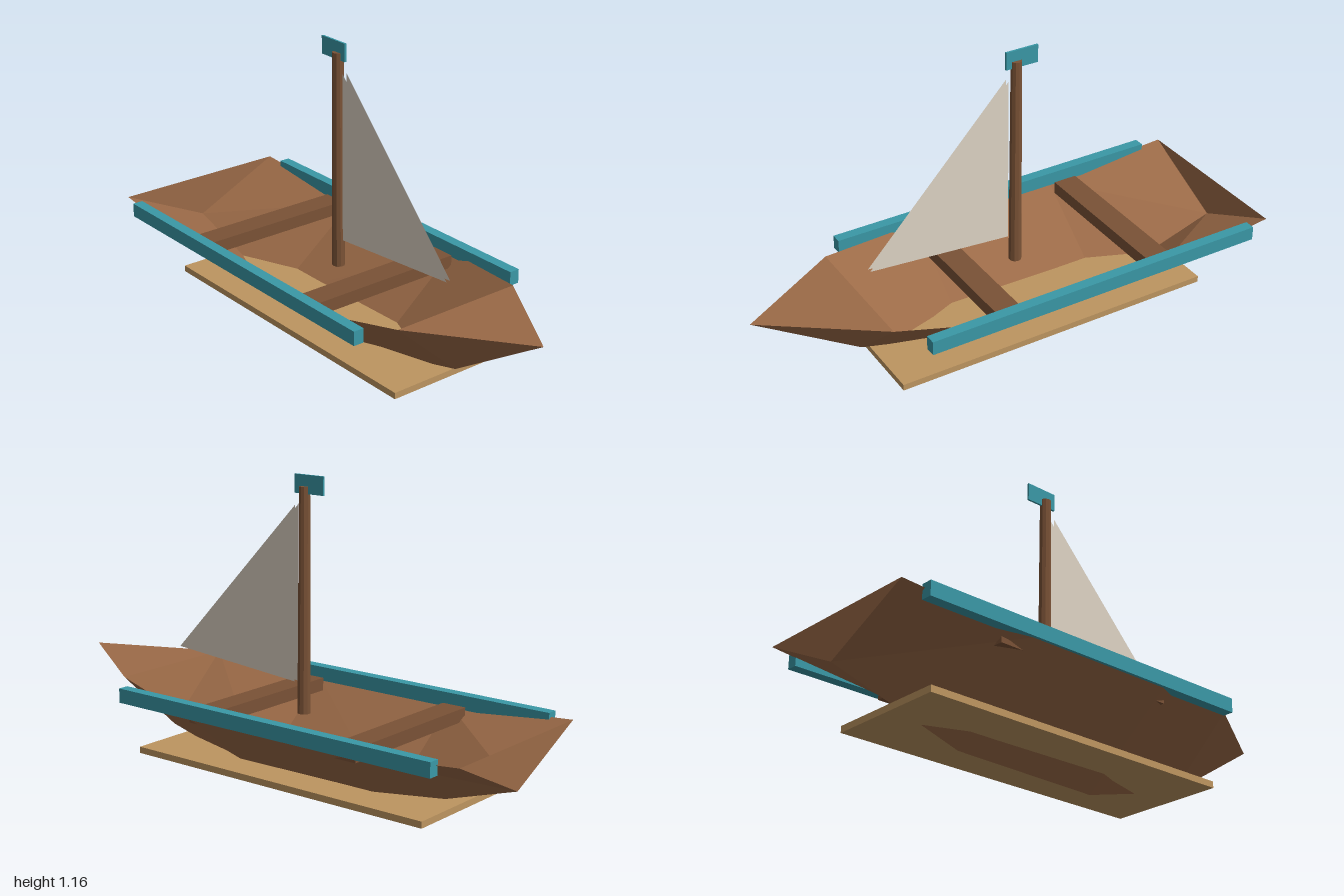
import * as THREE from 'three';

const mat = (color, side = THREE.FrontSide) =>
  new THREE.MeshStandardMaterial({ color, side, flatShading: true });

function add(parent, name, geometry, material, x = 0, y = 0, z = 0) {
  const mesh = new THREE.Mesh(geometry, material);
  mesh.name = name;
  mesh.position.set(x, y, z);
  parent.add(mesh);
  return mesh;
}

// Box given by its limits on each axis
function box(parent, name, material, [x0, x1], [y0, y1], [z0, z1]) {
  return add(parent, name, new THREE.BoxGeometry(x1 - x0, y1 - y0, z1 - z0), material,
    (x0 + x1) / 2, (y0 + y1) / 2, (z0 + z1) / 2);
}

function facets(triangles) {
  const geometry = new THREE.BufferGeometry();
  geometry.setAttribute('position', new THREE.Float32BufferAttribute(triangles.flat(2), 3));
  geometry.computeVertexNormals();
  return geometry;
}

// V-shaped shell, open on top, with a stern panel and a small bow deck
function hullGeometry() {
  // x, keel height, gunwale height, half width
  const stations = [
    [-1, 0.175, 0.345, 0.355],
    [-0.47, 0.01, 0.3, 0.375],
    [0.14, 0, 0.3, 0.375],
    [0.58, 0.115, 0.36, 0.27],
  ];
  const keel = ([x, k]) => [x, k, 0];
  const rim = ([x, , g, w], s) => [x, g, s * w];
  const bow = [1, 0.38, 0];
  const tris = [];
  const face = (s, a, b, c) => tris.push(s > 0 ? [a, b, c] : [a, c, b]);
  const first = stations[0], last = stations[stations.length - 1];
  for (const s of [1, -1]) {
    for (let i = 0; i < stations.length - 1; i++) {
      const a = stations[i], b = stations[i + 1];
      face(s, keel(a), keel(b), rim(b, s));
      face(s, keel(a), rim(b, s), rim(a, s));
    }
    face(s, keel(last), bow, rim(last, s));
  }
  tris.push([keel(first), rim(first, 1), rim(first, -1)]);
  tris.push([rim(last, 1), bow, rim(last, -1)]);
  return facets(tris);
}

export function createModel() {
  const boat = new THREE.Group();
  boat.name = 'sailboat';
  const hullWood = mat(0x9b6a47, THREE.DoubleSide);
  const darkWood = mat(0x7a5236);
  const paleWood = mat(0xbd9560);
  const teal = mat(0x3a98a6);
  const canvas = mat(0xddd3c4, THREE.DoubleSide);

  add(boat, 'hull', hullGeometry(), hullWood);
  box(boat, 'floorBoard', paleWood, [-0.78, 0.535], [0.06, 0.085], [-0.24, 0.24]);

  // Side rails and benches
  box(boat, 'leftRail', teal, [-0.91, 0.49], [0.3, 0.355], [0.345, 0.387]);
  box(boat, 'rightRail', teal, [-0.91, 0.49], [0.3, 0.355], [-0.387, -0.345]);
  for (const [name, x] of [['sternBench', -0.52], ['bowBench', 0.14]])
    box(boat, name, darkWood, [x - 0.049, x + 0.049], [0.267, 0.317], [-0.33, 0.33]);

  // Mast with flag
  const mast = new THREE.CylinderGeometry(0.021, 0.025, 0.84, 10);
  add(boat, 'mast', mast, darkWood, -0.08, 0.7, 0);
  box(boat, 'flag', teal, [-0.168, -0.036], [1.093, 1.162], [-0.004, 0.004]);

  // Sail as two close cloth layers
  const cloth = facets([[[-0.043, 0.395, 0], [0.533, 0.44, 0], [-0.043, 1.05, 0]]]);
  const sail = new THREE.Group();
  sail.name = 'sail';
  add(sail, 'sailFront', cloth, canvas, 0, 0, 0.009);
  add(sail, 'sailBack', cloth, canvas, 0, 0, -0.009);
  boat.add(sail);
  return boat;
}
